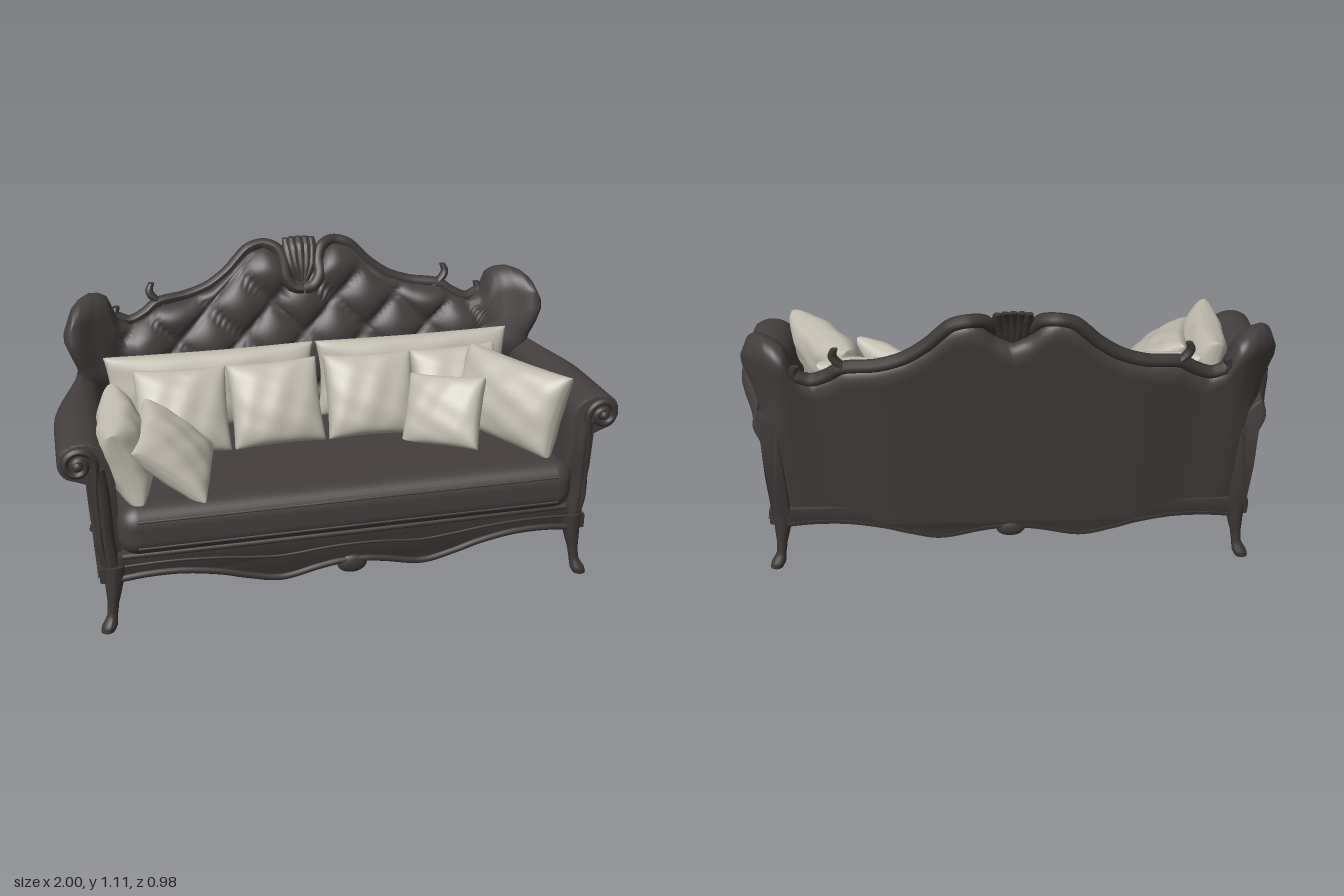
import * as THREE from 'three';
import { mergeGeometries, toCreasedNormals } from 'three/addons/utils/BufferGeometryUtils.js';
import { RoundedBoxGeometry } from 'three/addons/geometries/RoundedBoxGeometry.js';

const S = (a, b, x) => THREE.MathUtils.smoothstep(x, a, b);
const V = (p) => new THREE.Vector3(...p);
const V2 = (p) => new THREE.Vector2(...p);

// interpolation through [x, y] pairs
function profile(pts, x) {
  let i = 1;
  while (i < pts.length - 1 && pts[i][0] < x) i++;
  const [x0, y0] = pts[i - 1], [x1, y1] = pts[i];
  const t = THREE.MathUtils.clamp((x - x0) / (x1 - x0), 0, 1);
  return y0 + (y1 - y0) * t;
}
const TOP = [[0, 1.0], [.06, 1.03], [.1, 1.08], [.14, 1.1], [.2, 1.085], [.24, 1.05], [.28, 1.01], [.36, .955], [.45, .925],
  [.57, .908], [.62, .875], [.68, .852], [.73, .87], [.76, .945], [.79, .965], [.83, .975], [.87, .965], [.9, .94], [.935, .86]];
const WIDTH = [[.2, .86], [.6, .88], [.72, .895], [.83, .935], [1.2, .935]];

// leaning back surface with wings that curve forward, and its thickness
function backZ(x, y) {
  const ax = Math.abs(x);
  return -.305 - .215 * (y - .2) + .03 * S(.4, .7, ax) + (.04 + .08 * S(.55, .8, y)) * S(.76, .95, ax);
}
const backT = (x, y) => .1 + .055 * S(.7, .8, Math.abs(x)) * S(.55, .7, y);

function backGeometry(side) {
  const nu = 150, nv = 52, pos = [], idx = [];
  for (let j = 0; j <= nv; j++) for (let i = 0; i <= nu; i++) {
    const s = i / nu * 2 - 1, u = s * (1.4 - .4 * s * s), v = 1 - (1 - j / nv) ** 1.6, au = Math.abs(u * .935);
    const top = profile(TOP, au) - .022 * (1 - S(.68, .76, au));
    const y = .18 + (top - .18) * v, x = u * profile(WIDTH, y);
    const d = Math.min((1 - Math.abs(u)) * .93, (1 - v) * (top - .18));
    const e = Math.sqrt(1 - (1 - Math.min(1, d / .075)) ** 2), t = backT(x, y);
    let z = backZ(x, y) + t / 2 + side * t / 2 * e;
    if (side > 0) {
      const a = Math.PI * (x / .25 + y / .25), b = Math.PI * (x / .25 - y / .25);
      const tuft = Math.pow(Math.abs(Math.sin(a) * Math.sin(b)), .4) - .65;
      z += .055 * tuft * e * (1 - S(.68, .78, Math.abs(x)));
    }
    pos.push(x, y, z);
    if (i < nu && j < nv) {
      const p = j * (nu + 1) + i, q = p + nu + 1;
      idx.push(...(side > 0 ? [p, p + 1, q + 1, p, q + 1, q] : [p, q + 1, p + 1, p, q, q + 1]));
    }
  }
  const g = new THREE.BufferGeometry();
  g.setAttribute('position', new THREE.Float32BufferAttribute(pos, 3));
  g.setIndex(idx);
  g.computeVertexNormals();
  return g;
}

// soft cushion: two puffed sheets joined along a pinched seam
function pillowGeometry(w, h, d) {
  const sheet = (side) => {
    const g = new THREE.PlaneGeometry(2, 2, 24, 24), p = g.attributes.position;
    for (let i = 0; i < p.count; i++) {
      const u = Math.sin(p.getX(i) * Math.PI / 2), v = Math.sin(p.getY(i) * Math.PI / 2);
      const puff = Math.pow(Math.max(0, (1 - u * u) * (1 - v * v)), .32);
      const fold = 1 + .07 * Math.sin(u * 7 + v * 3) * Math.sin(v * 6 - u * 2);
      p.setXYZ(i, w / 2 * u * (1 - .05 * (1 - v * v)), h / 2 * v * (1 - .05 * (1 - u * u)), d / 2 * puff * fold);
    }
    if (side < 0) g.rotateY(Math.PI);
    g.computeVertexNormals();
    return g;
  };
  return mergeGeometries([sheet(1), sheet(-1)]);
}

// mirror across x, keeping faces outward
function mirror(geo) {
  const g = geo.clone().scale(-1, 1, 1);
  const n = g.index ? g.index.count : g.attributes.position.count;
  const at = (k) => (g.index ? g.index.getX(k) : k), idx = [];
  for (let k = 0; k < n; k += 3) idx.push(at(k), at(k + 2), at(k + 1));
  g.setIndex(idx);
  g.computeVertexNormals();
  return geo.index ? g : toCreasedNormals(g, .7);
}
const tube = (pts, r, n = 60) => new THREE.TubeGeometry(new THREE.CatmullRomCurve3(pts.map(V)), n, r, 8);

// round sections [x, y, z, radius] joined into a limb, first at the bottom
function limb(sections) {
  const curve = new THREE.CatmullRomCurve3(sections.map((s) => V(s.slice(0, 3))));
  const g = new THREE.CylinderGeometry(1, 1, 1, 14, 20), p = g.attributes.position;
  for (let i = 0; i < p.count; i++) {
    const t = THREE.MathUtils.clamp(p.getY(i) + .5, 0, 1), c = curve.getPoint(t), f = t * (sections.length - 1);
    const k = Math.min(Math.floor(f), sections.length - 2);
    const r = THREE.MathUtils.lerp(sections[k][3], sections[k + 1][3], f - k);
    p.setXYZ(i, c.x + p.getX(i) * r, c.y, c.z + p.getZ(i) * r);
  }
  g.computeVertexNormals();
  return g;
}

// rail with a straight top and a shaped lower edge
function rail(lower, top, depth) {
  const s = new THREE.Shape();
  s.moveTo(lower[0][0], top);
  s.lineTo(...lower[0]);
  s.splineThru(lower.slice(1).map(V2));
  s.lineTo(lower[lower.length - 1][0], top);
  const g = new THREE.ExtrudeGeometry(s, { depth, bevelEnabled: true, bevelSize: .006, bevelThickness: .006, bevelSegments: 2, curveSegments: 5 });
  return toCreasedNormals(g, .7);
}

export function createModel() {
  const sofa = new THREE.Group();
  const mat = (name, color) => { const m = new THREE.MeshStandardMaterial({ color }); m.name = name; return m; };
  const fabric = mat('dark fabric', 0x443f3e), wood = mat('dark wood', 0x3d3836), linen = mat('pale linen', 0xc0bbae);
  const add = (name, geo, m) => { const o = new THREE.Mesh(geo, m); o.name = name; sofa.add(o); return o; };
  const pair = (name, geo, m) => { add(name + 'Left', geo, m); add(name + 'Right', mirror(geo), m); };

  // backrest with its carved crest
  add('tuftedBack', backGeometry(1), fabric);
  add('rearBack', backGeometry(-1), fabric);
  const onBack = (x, y, dz = -.022) => [x, y, backZ(x, y) + .05 + dz];
  const crest = TOP.filter(([x]) => x > .12 && x < .74).map(([x, y]) => onBack(x, y - .014));
  pair('crestMoulding', tube([onBack(0, .925, .05), onBack(.04, .935, .05), onBack(.068, .975, .045),
    onBack(.07, 1.03, .02), onBack(.09, 1.07, 0), ...crest], .023, 110), wood);
  pair('crestFinial', limb([[...onBack(.55, .89), .022], [...onBack(.585, .92), .02], [...onBack(.597, .945), .015], [...onBack(.588, .972), .012]]), wood);
  pair('wingCurl', limb([[...onBack(.7, .835), .022], [...onBack(.735, .865), .018], [...onBack(.728, .895), .014]]), wood);

  // carved shell at the middle of the crest
  for (let i = -2; i <= 2; i++) {
    const a = i * .35, x = Math.sin(a);
    add('shellLobe', limb([[0, .93, -.385, .014], [x * .06, 1.01, -.405, .022],
      [x * .075, 1.07 + .015 * Math.cos(a * 2), -.435, .021], [x * .08, 1.09 + .02 * Math.cos(a), -.46, .013]]), wood);
  }

  // rolled arms: drawn in towards the wing, lower panel following the leaning back
  const sec = new THREE.Shape();
  sec.moveTo(.815, .23);
  sec.lineTo(.82, .56);
  sec.splineThru([[.835, .64], [.88, .682], [.935, .688], [.98, .665], [.993, .62], [.975, .58], [.935, .562], [.905, .55]].map(V2));
  sec.lineTo(.9, .42);
  sec.lineTo(.878, .23);
  const arm = new THREE.ExtrudeGeometry(sec, { depth: .69, steps: 16, curveSegments: 4, bevelEnabled: true, bevelSize: .006, bevelThickness: .008, bevelSegments: 2 });
  arm.translate(0, 0, -.29);
  const ap = arm.attributes.position;
  for (let i = 0; i < ap.count; i++) {
    const x = ap.getX(i), y = ap.getY(i), z = ap.getZ(i), rear = 1 - S(-.3, .1, z);
    ap.setXYZ(i, x - .1 * rear * S(.86, .99, x), y + .012 * rear * S(.56, .6, y), z - .05 * rear * S(.23, .5, y));
  }
  pair('rolledArm', toCreasedNormals(arm, .7), fabric);

  // scrolled arm fronts
  const scroll = [[.85, .2, .425], [.875, .3, .425], [.878, .42, .42], [.88, .53, .42]];
  for (let i = 0; i <= 22; i++) {
    const a = Math.PI * 1.05 - i * .42, r = .058 - i * .0021;
    scroll.push([.932 + r * Math.cos(a), .624 + r * Math.sin(a), .42]);
  }
  pair('armScroll', tube(scroll, .013, 120), wood);
  pair('armPost', limb([[.845, .2, .41, .033], [.86, .35, .405, .03], [.862, .5, .405, .028], [.875, .6, .4, .03]]), wood);
  pair('scrollButton', new THREE.SphereGeometry(.018, 12, 8).translate(.932, .624, .425), wood);

  // curved legs
  const leg = [[.878, 0, .45, .024], [.87, .02, .447, .027], [.858, .055, .438, .018], [.852, .1, .432, .02], [.845, .16, .424, .03], [.838, .24, .412, .042]];
  pair('frontLeg', limb(leg), wood);
  pair('backLeg', limb(leg.map(([x, y, z, r]) => [x, y, .155 - z, r])), wood);

  // shaped rails and mouldings
  const half = [[.05, .148], [.12, .138], [.26, .112], [.38, .136], [.47, .162], [.6, .185], [.72, .188], [.82, .18]];
  const edge = [...half.slice().reverse().map(([x, y]) => [-x, y]), ...half];
  add('frontRail', rail(edge, .275, .04).translate(0, 0, .388), wood);
  add('backRail', rail(edge, .25, .03).translate(0, 0, -.29), wood);
  add('frontLowerMoulding', tube(edge.map(([x, y]) => [x, y + .01, .432]), .013, 120), wood);
  add('frontUpperMoulding', tube(edge.map(([x, y]) => [x, .222 + (y - .15) * .4, .432]), .006, 120), wood);
  add('backLowerMoulding', tube(edge.map(([x, y]) => [x, y + .01, -.285]), .012, 120), wood);
  add('frontTopMoulding', tube([[-.81, .272, .43], [0, .272, .435], [.81, .272, .43]], .011, 20), wood);
  for (const z of [.43, -.282]) add('railDrop', new THREE.SphereGeometry(1, 16, 10).scale(.055, .036, .02).translate(0, .142, z), wood);
  const sideEdge = [[-.27, .18], [-.2, .193], [-.08, .175], [.1, .148], [.26, .172], [.36, .19], [.43, .185]];
  pair('sideRail', rail(sideEdge, .228, .04).rotateY(-Math.PI / 2).translate(.885, 0, 0), wood);
  pair('sideMoulding', tube(sideEdge.map(([z, y]) => [.884, y + .012, z]), .012), wood);

  // seat
  add('underBoard', new THREE.BoxGeometry(1.66, .05, .68).translate(0, .245, .06), wood);
  add('seatCushion', new RoundedBoxGeometry(1.64, .185, .78, 5, .07).translate(0, .372, .097), fabric);
  for (const y of [.322, .422]) add('seatPiping', tube([[-.755, y, .481], [.755, y, .481]], .005, 2), fabric);

  // loose pillows: width, height, depth, position, yaw, tilt, roll
  const pillows = [
    ['longBackPillow', .8, .3, .14, [-.4, .612, -.19], 0, -.12, 0],
    ['longBackPillow', .78, .3, .14, [.4, .612, -.19], 0, -.12, 0],
    ...[-.535, -.185, .18, .525].map((x, i) => ['backPillow', .345, .32, .16, [x, .6, -.015], 0, -.5, i % 2 ? .02 : -.02]),
    ['armPillow', .43, .29, .17, [-.765, .597, .225], 1.5, -.28, .03],
    ['smallPillow', .36, .31, .13, [-.6, .575, .265], 1.2, -.85, .2],
    ['armPillow', .47, .31, .19, [.665, .612, .18], -1.02, -.32, -.04],
    ['smallPillow', .3, .27, .13, [.42, .577, .15], -.75, -.5, .12],
  ];
  for (const [name, w, h, d, p, yaw, tilt, roll] of pillows) {
    const o = add(name, pillowGeometry(w, h, d), linen);
    o.position.set(...p);
    o.rotation.set(tilt, yaw, roll, 'YXZ');
  }
  return sofa;
}
